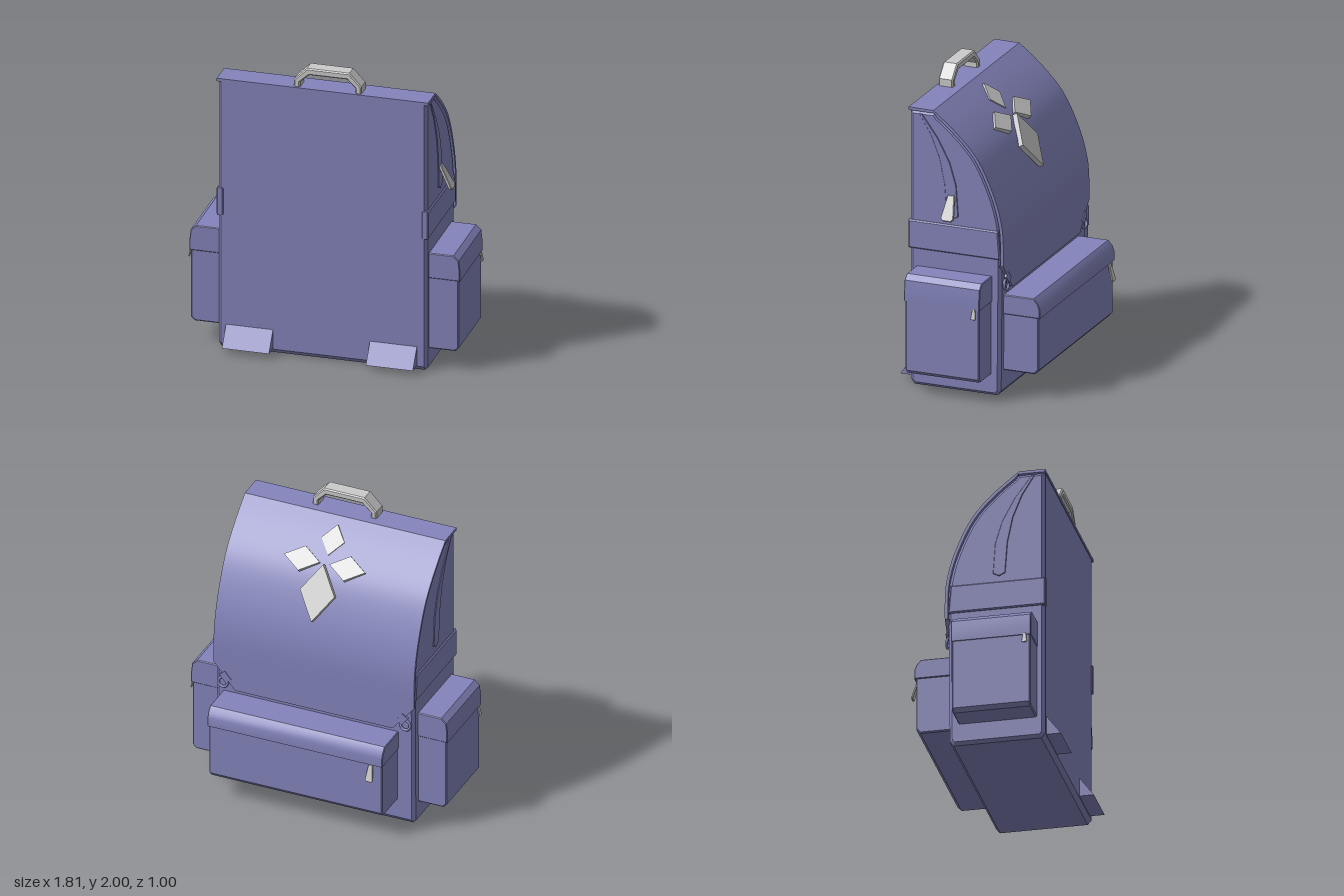
import * as THREE from 'three';
import { toCreasedNormals } from 'three/addons/utils/BufferGeometryUtils.js';

const fabric = new THREE.MeshStandardMaterial({ color: 0x8484bc });
const grey = new THREE.MeshStandardMaterial({ color: 0xcccccc });

// Extrude an outline with an optional inward chamfer, from w0 to w1
function extrude(points, w0, w1, bevel = 0) {
  const shape = new THREE.Shape(points.map(([a, b]) => new THREE.Vector2(a, b)));
  const geo = new THREE.ExtrudeGeometry(shape, {
    depth: w1 - w0 - 2 * bevel, bevelEnabled: bevel > 0, bevelThickness: bevel,
    bevelSize: bevel, bevelOffset: -bevel, bevelSegments: 1,
  });
  geo.translate(0, 0, w0 + bevel);
  return toCreasedNormals(geo, 0.4);
}

// Extrude a side profile of [z, y] points across x
function acrossX(points, x0, x1, bevel) {
  return extrude(points.map(([z, y]) => [-z, y]), x0, x1, bevel).rotateY(Math.PI / 2);
}

export function createModel() {
  const bag = new THREE.Group();
  bag.name = 'backpack';
  const add = (name, geo, mat = fabric, parent = bag) => {
    const mesh = new THREE.Mesh(geo, mat);
    mesh.name = name;
    parent.add(mesh);
    return mesh;
  };

  // Curved back of the lid: outer line and a parallel inner line
  const curve = new THREE.SplineCurve([
    [0.24, 1.865], [0.12, 1.77], [0, 1.655], [-0.08, 1.55], [-0.15, 1.41],
    [-0.205, 1.26], [-0.235, 1.12], [-0.242, 1.0], [-0.242, 0.88],
  ].map(([z, y]) => new THREE.Vector2(z, y)));
  const outer = [], inner = [];
  for (let i = 0; i <= 20; i++) {
    const p = curve.getPoint(i / 20), t = curve.getTangent(i / 20);
    outer.push([p.x, p.y]);
    inner.push([p.x - t.y * 0.02, p.y + t.x * 0.02]);
  }
  inner[0] = [0.235, 1.847];

  // Main body
  add('body', acrossX([
    [0.405, 0.03], [0.405, 1.847], ...inner, [-0.215, 0.03], [-0.19, 0], [0.38, 0],
  ], -0.702, 0.677, 0.02));

  // Lid flap with cut lower corners
  add('flap', acrossX([
    [0.41, 1.847], [0.41, 1.867], ...outer, ...[...inner].reverse(),
  ], -0.71, 0.685));
  add('flapEnd', extrude([
    [-0.71, 0.88], [-0.56, 0.7], [0.535, 0.7], [0.685, 0.88],
  ], -0.242, -0.212));

  // Carry handle
  add('handle', extrude([
    [-0.205, 1.86], [-0.205, 1.915], [-0.12, 2], [0.16, 2], [0.24, 1.915], [0.24, 1.86],
    [0.2, 1.86], [0.2, 1.9], [0.145, 1.955], [-0.105, 1.955], [-0.165, 1.9], [-0.165, 1.86],
  ], 0.295, 0.395, 0.008), grey);

  // Lower strap wedges on the front
  for (const x of [-0.65, 0.3]) {
    add('strapAnchor', acrossX([[0.39, 0.165], [0.405, 0.165], [0.5, 0.037], [0.39, 0.037]], x, x + 0.31));
  }

  // Flared tab hanging from a zip, tilted outward
  const addPull = (name, x, y, z, turn, h, w, tilt) => {
    const t = w * 0.22;
    const pull = add(name, extrude([
      [-w * 0.25, 0], [w * 0.25, 0], [w * 0.5, -h * 0.9], [w * 0.3, -h], [-w * 0.3, -h], [-w * 0.5, -h * 0.9],
    ], -t / 2, t / 2, t * 0.2), grey);
    pull.position.set(x, y, z);
    pull.rotation.set(-tilt, turn, 0, 'YXZ');
  };

  for (const s of [1, -1]) {
    const cx = -0.0125;
    const at = ([x, y]) => [cx + s * x, y];
    const side = s > 0 ? 'left' : 'right';

    // Compression band around each side
    const [b0, b1] = [cx + s * 0.655, cx + s * 0.7].sort((a, b) => a - b);
    add(side + 'Band', acrossX([[0.413, 0.92], [0.413, 1.11], [-0.205, 1.11], [-0.22, 0.92]], b0, b1, 0.008));

    // Curved zip strip
    const strip = [
      [0.34, 1.83], [0.26, 1.7], [0.2, 1.55], [0.165, 1.38], [0.15, 1.17],
      [0.11, 1.15], [0.07, 1.17], [0.085, 1.38], [0.13, 1.53], [0.21, 1.68], [0.32, 1.83],
    ];
    const [z0, z1] = [cx + s * 0.68, cx + s * 0.695].sort((a, b) => a - b);
    add(side + 'Zip', acrossX(strip, z0, z1, 0.003));

    // Side pocket, its lid and its zip pull
    add(side + 'Pocket', extrude([
      [0.66, 0.14], [0.86, 0.14], [0.885, 0.165], [0.885, 0.66], [0.66, 0.66],
    ].map(at), -0.155, 0.355, 0.008));
    add(side + 'PocketLid', extrude([
      [0.66, 0.63], [0.893, 0.63], [0.893, 0.7], [0.885, 0.77], [0.85, 0.803], [0.66, 0.803],
    ].map(at), -0.16, 0.36, 0.005));
    addPull(side + 'PocketPull', cx + s * 0.89, 0.64, s > 0 ? -0.12 : 0.32, s * Math.PI / 2, 0.07, 0.035, 0.2);

    // Ring buckle on the flap corner
    const ring = add(side + 'Ring', new THREE.TorusGeometry(0.032, 0.009, 8, 20));
    ring.position.set(cx + s * 0.635, 0.74, -0.235);
    ring.rotation.x = 0.15;
    const tab = add(side + 'RingTab', new THREE.BoxGeometry(0.05, 0.07, 0.018));
    tab.position.set(cx + s * 0.615, 0.785, -0.237);
    tab.rotation.z = -s * 0.7;
  }
  addPull('mainZipPull', 0.685, 1.31, 0.115, Math.PI / 2, 0.17, 0.09, 0.48);

  // Back pocket with overhanging lid
  add('backPocket', acrossX([
    [-0.2, 0.16], [-0.43, 0.16], [-0.457, 0.19], [-0.457, 0.56], [-0.2, 0.56],
  ], -0.585, 0.62, 0.008));
  add('backPocketLid', acrossX([
    [-0.2, 0.54], [-0.467, 0.54], [-0.467, 0.6], [-0.455, 0.635], [-0.425, 0.67], [-0.2, 0.67],
  ], -0.592, 0.627, 0.005));
  addPull('backPocketPull', -0.51, 0.54, -0.465, Math.PI, 0.115, 0.055, 0.27);

  // Diamond ornaments laid on the curve: x, low [z, y], high [z, y], width
  const ornament = new THREE.Group();
  ornament.name = 'diamondOrnament';
  bag.add(ornament);
  for (const [x, low, high, width] of [
    [0.01, [-0.23, 1.34], [-0.045, 1.665], 0.24],
    [0.01, [0.03, 1.69], [0.18, 1.835], 0.16],
    [-0.145, [-0.08, 1.6], [0.04, 1.715], 0.25],
    [0.17, [-0.08, 1.6], [0.04, 1.715], 0.25],
  ]) {
    const up = new THREE.Vector3(0, high[1] - low[1], high[0] - low[0]);
    const h = up.length() / 2;
    up.normalize();
    const out = new THREE.Vector3(0, up.z, -up.y);
    const geo = extrude([[-width / 2, 0], [0, -h], [width / 2, 0], [0, h]], -0.03, 0.004);
    geo.applyMatrix4(new THREE.Matrix4().makeBasis(new THREE.Vector3(-1, 0, 0), up, out));
    add('diamond', geo, grey, ornament)
      .position.set(x, (low[1] + high[1]) / 2, (low[0] + high[0]) / 2);
  }
  return bag;
}
